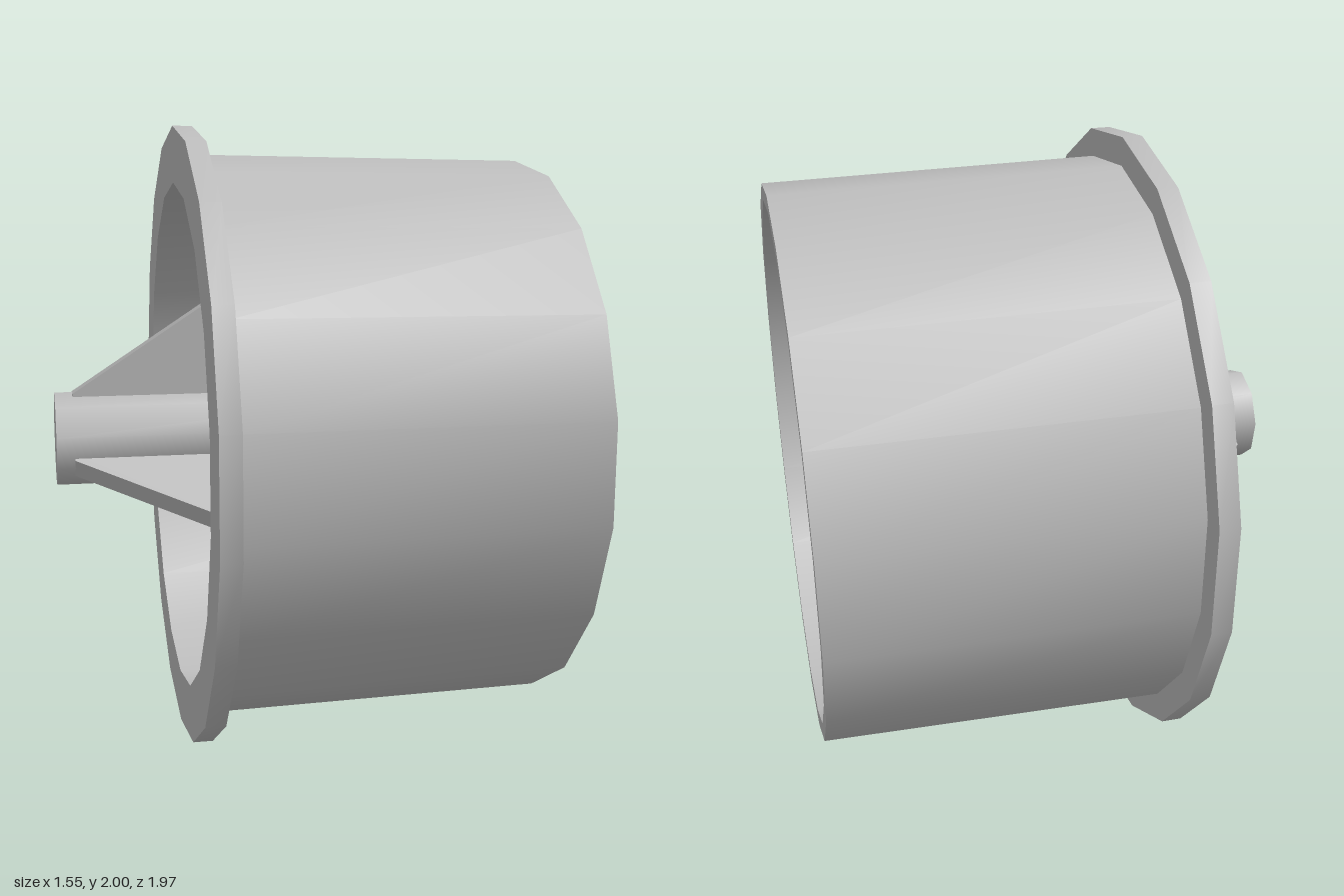
import * as THREE from 'three';
import { toCreasedNormals } from 'three/addons/utils/BufferGeometryUtils.js';

const CREASE = 0.8;

// Turned part around the x axis; profile points are [radius, x], first corner at the top
function turned(points, sides) {
  const profile = points.map(([r, x]) => new THREE.Vector2(r, x));
  const g = new THREE.LatheGeometry(profile, sides, -Math.PI / 2);
  g.rotateZ(-Math.PI / 2);
  return toCreasedNormals(g, CREASE);
}

function extruded(points, depth) {
  const shape = new THREE.Shape(points.map(([x, y]) => new THREE.Vector2(x, y)));
  return new THREE.ExtrudeGeometry(shape, { depth, bevelEnabled: false });
}

// Arched spoke section [width, x] with a shallow channel along its crown
function spokeSection() {
  const half = 0.19, base = 0.32, rise = 0.155;
  const end = Math.acos(0.06 / half);
  const side = [[0.197, 0.28], [0.197, base]];
  for (let i = 0; i <= 6; i++) {
    const t = (end * i) / 6;
    side.push([half * Math.cos(t), base + rise * Math.sin(t)]);
  }
  side.push([0.052, base + rise - 0.025]);
  return [...side, ...side.map(([w, x]) => [-w, x]).reverse()];
}

export function createModel() {
  const model = new THREE.Group();
  model.name = 'wheel';
  const grey = new THREE.MeshStandardMaterial({ color: 0xbfbfbf });
  grey.name = 'light grey';

  const wheel = new THREE.Group();
  wheel.name = 'wheelBody';
  wheel.position.y = 1;
  model.add(wheel);

  const add = (name, geometry, parent = wheel) => {
    const mesh = new THREE.Mesh(geometry, grey);
    mesh.name = name;
    parent.add(mesh);
  };

  // Tapered barrel with a flange at one end
  add('flangedBarrel', turned([
    [0.822, -0.38], [1, -0.38], [1, -0.317], [0.91, -0.317],
    [0.895, 0.773], [0.842, 0.773], [0.822, -0.38],
  ], 18));

  // Closed axle with a hub collar and a tapering blind bore
  add('axleHub', turned([
    [0, -0.777], [0.152, -0.777], [0.152, 0.28], [0.212, 0.28], [0.205, 0.51],
    [0.188, 0.54], [0.117, 0.54], [0.077, -0.3], [0, -0.3],
  ], 9));

  // Spokes and the bracing fins behind them
  const toSpoke = new THREE.Matrix4().makeBasis(
    new THREE.Vector3(0, 0, 1), new THREE.Vector3(1, 0, 0), new THREE.Vector3(0, 1, 0));
  const spoke = extruded(spokeSection(), 0.7);
  spoke.translate(0, 0, 0.14).applyMatrix4(toSpoke);
  const spokeGeometry = toCreasedNormals(spoke, 0.45);

  const fin = extruded([
    [-0.72, 0.12], [0.35, 0.12], [0.35, 0.84], [-0.2, 0.84], [-0.2, 0.49], [-0.72, 0.15],
  ], 0.064);
  fin.translate(0, 0, -0.032);

  for (let i = 0; i < 3; i++) {
    const arm = new THREE.Group();
    arm.name = 'arm' + (i + 1);
    arm.rotation.x = (i * 2 * Math.PI) / 3;
    add('spoke', spokeGeometry, arm);
    add('fin', fin, arm);
    wheel.add(arm);
  }
  return model;
}
